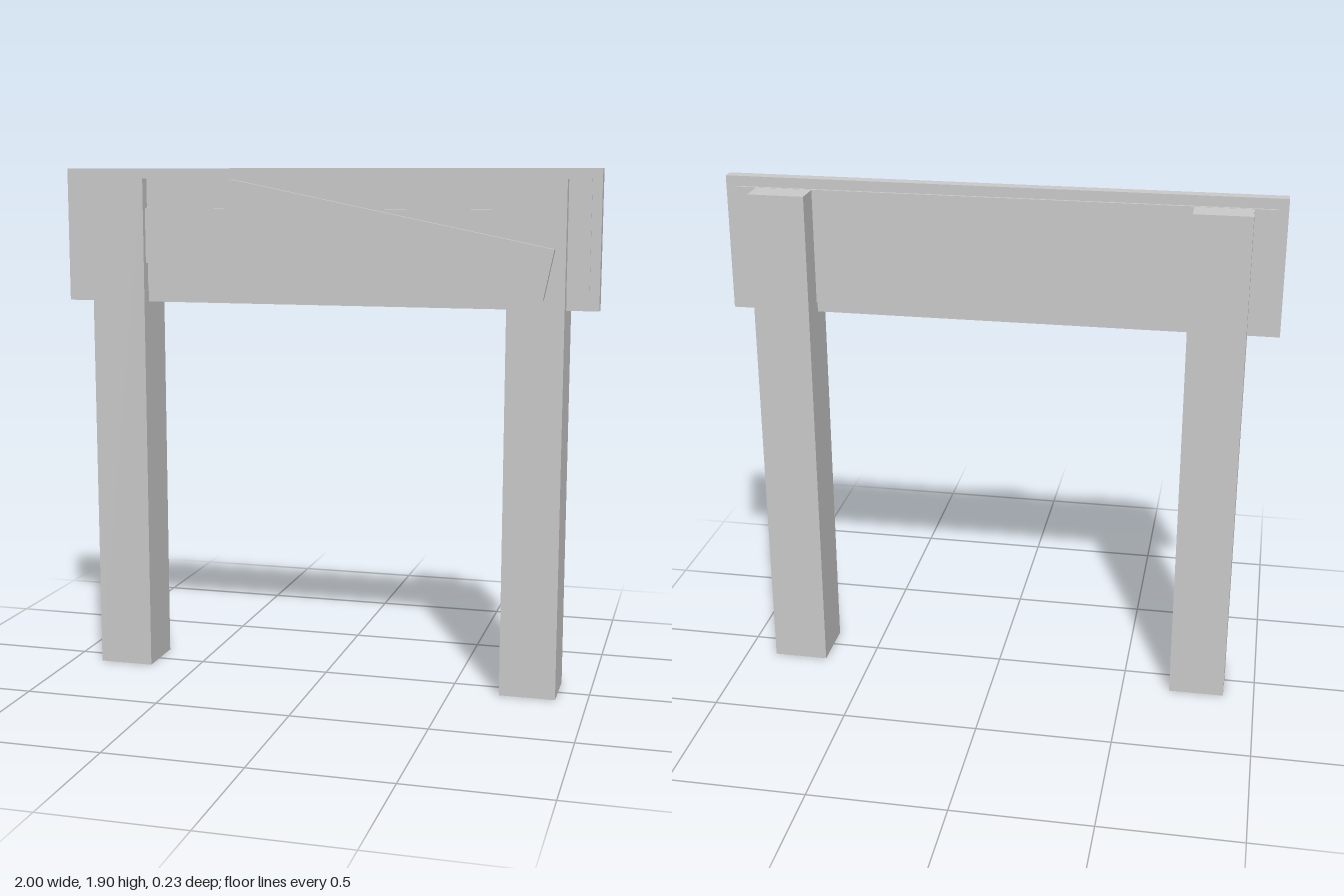
import * as THREE from 'three';

export function createModel() {
  const model = new THREE.Group();
  const grey = new THREE.MeshStandardMaterial({ color: 0xcccccc });
  grey.name = 'light grey';

  // Box from its lower and upper limits on each axis
  function box(name, [x0, x1], [y0, y1], [z0, z1]) {
    const mesh = new THREE.Mesh(new THREE.BoxGeometry(x1 - x0, y1 - y0, z1 - z0), grey);
    mesh.position.set((x0 + x1) / 2, (y0 + y1) / 2, (z0 + z1) / 2);
    mesh.name = name;
    model.add(mesh);
    return mesh;
  }

  // Square posts
  box('leftPost', [0.68, 0.885], [0, 1.867], [-0.115, 0.09]);
  box('rightPost', [-0.885, -0.68], [0, 1.867], [-0.115, 0.09]);

  // Sign board with a slightly raised panel on both faces
  box('board', [-1, 1], [1.41, 1.905], [-0.003, 0.044]);
  box('raisedPanel', [-0.965, 0.965], [1.45, 1.868], [-0.013, 0.049]);

  // Horizontal strip between the posts
  box('strip', [-0.7, 0.7], [1.555, 1.76], [0.04, 0.069]);

  // Slanted plank across the front
  const plank = box('slantedPlank', [-0.364, 0.842], [1.567, 1.748], [0.092, 0.115]);
  plank.rotation.z = -0.2;

  return model;
}
